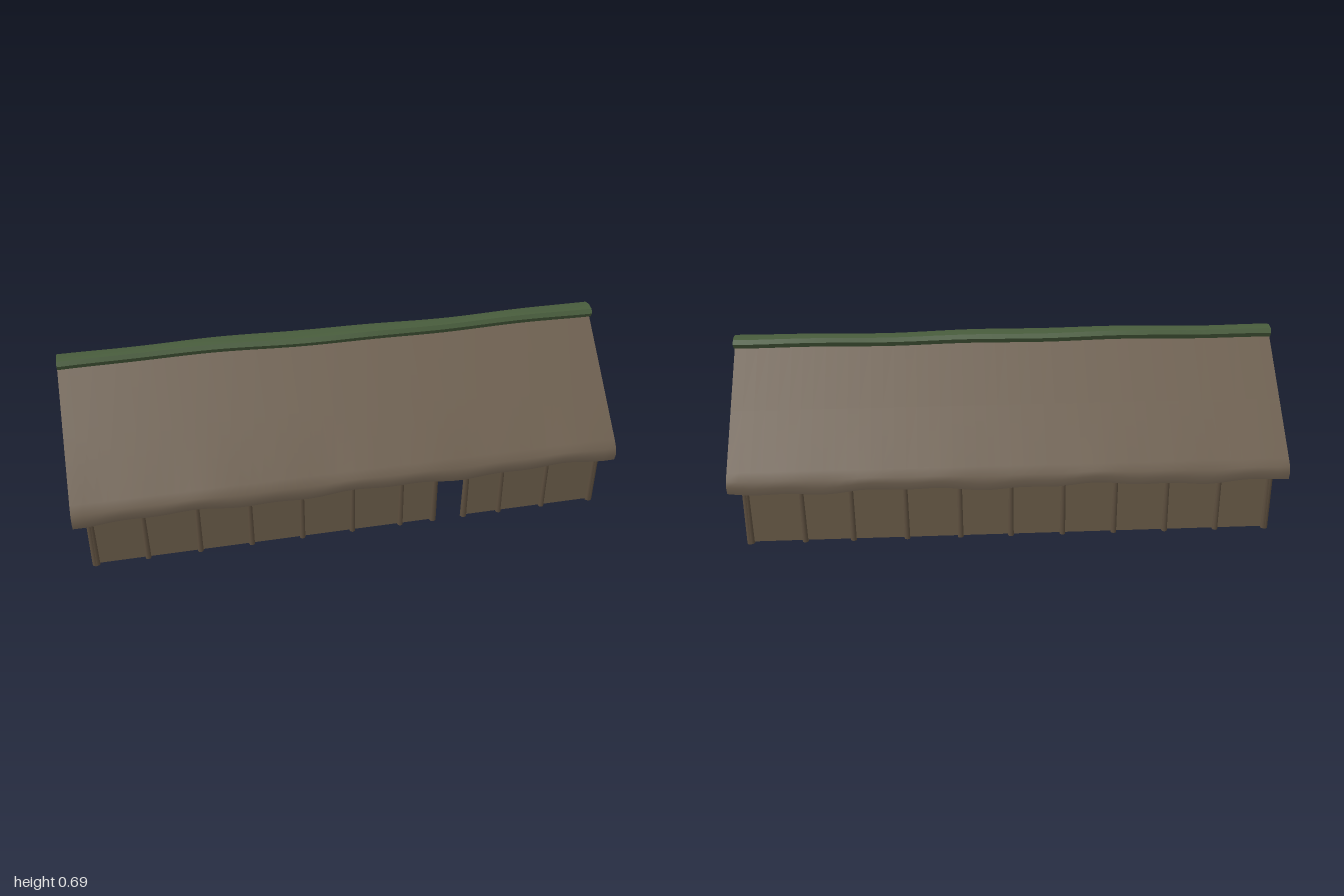
import * as THREE from 'three';
import { toCreasedNormals } from 'three/addons/utils/BufferGeometryUtils.js';

const mat = (name, color) => Object.assign(new THREE.MeshStandardMaterial({ color }), { name });
const V = (x, y, z) => new THREE.Vector3(x, y, z);

// Sweeps a closed (z, y) profile along x; profileAt(x) lists points top, +z side, bottom, -z side
function sweep(profileAt, x0, x1, steps, crease) {
  const pos = [], index = [];
  let n = 0;
  for (let i = 0; i <= steps; i++) {
    const x = x0 + (x1 - x0) * i / steps;
    const loop = profileAt(x);
    n = loop.length;
    for (const [z, y] of loop) pos.push(x, y, z);
  }
  for (let i = 0; i < steps; i++) {
    for (let j = 0; j < n; j++) {
      const a = i * n + j, b = i * n + (j + 1) % n;
      index.push(a, b, a + n, b, b + n, a + n);
    }
  }
  const contour = profileAt(x0).map(p => new THREE.Vector2(p[0], p[1]));
  const last = steps * n;
  for (const [a, b, c] of THREE.ShapeUtils.triangulateShape(contour, [])) {
    index.push(a, b, c, last + a, last + c, last + b);
  }
  const g = new THREE.BufferGeometry();
  g.setAttribute('position', new THREE.Float32BufferAttribute(pos, 3));
  g.setIndex(index);
  return toCreasedNormals(g, crease);
}

// Upright panel from an outline, thickness centred on its plane
function panel(points, depth) {
  const shape = new THREE.Shape(points.map(p => new THREE.Vector2(p[0], p[1])));
  return new THREE.ExtrudeGeometry(shape, { depth, bevelEnabled: false }).translate(0, 0, -depth / 2);
}

export function createModel() {
  const model = new THREE.Group();
  model.name = 'longhouse';
  const thatch = mat('thatch', 0x6e6050);
  const daub = mat('daub', 0x6a5c49);
  const timber = mat('timber', 0x5c4e3e);
  const turf = mat('turf', 0x485c3c);
  const stone = mat('stone', 0x4a4036);

  const add = (name, geometry, material) => {
    const m = new THREE.Mesh(geometry, material);
    m.name = name;
    model.add(m);
    return m;
  };
  // Round timber between two points
  const beam = (name, a, b, r, r2 = r) => {
    const d = b.clone().sub(a);
    const m = add(name, new THREE.CylinderGeometry(r2, r, d.length(), 8), timber);
    m.position.copy(a).add(b).multiplyScalar(0.5);
    m.quaternion.setFromUnitVectors(V(0, 1, 0), d.normalize());
    return m;
  };

  // Thatched roof with slightly uneven eaves
  const eave = (x, s) => 0.006 * Math.sin(x * 9 + s) + 0.004 * Math.sin(x * 23 + 2 * s);
  add('thatchedRoof', sweep(x => {
    const f = eave(x, 1), b = eave(x, -2);
    return [
      [0, 0.65], [0.2, 0.463], [0.37, 0.303], [0.394, 0.278 + f * 0.5], [0.4, 0.256 + f], [0.395, 0.229 + f],
      [0.386, 0.237 + f], [0.35, 0.28], [0, 0.626],
      [-0.35, 0.28], [-0.386, 0.237 + b], [-0.395, 0.229 + b], [-0.4, 0.256 + b], [-0.394, 0.278 + b * 0.5],
      [-0.37, 0.303], [-0.2, 0.463],
    ];
  }, -1, 0.998, 48, 0.6), thatch);

  // Turf ridge roll, wavering along its length
  add('turfRidge', sweep(x => {
    const dy = 0.004 * Math.sin(-x * 3.3) + 0.002 * Math.sin(x * 11);
    const dz = 0.004 * Math.sin(x * 4.5 + 1);
    const w = 0.92 + 0.1 * Math.sin(x * 5 + 2);
    return [[0, 0.68], [0.03, 0.674], [0.041, 0.659], [0.03, 0.641], [0, 0.636],
      [-0.03, 0.641], [-0.041, 0.659], [-0.03, 0.674]].map(([z, y]) => [z * w + dz, y + dy]);
  }, -0.998, 0.998, 40, 0.5), turf);

  // Long walls; the front one has a doorway
  const L = 0.947, base = 0.01, top = 0.284, d0 = 0.32, d1 = 0.43, doorTop = 0.235;
  const wallBack = [[-L, base], [L, base], [L, top], [-L, top]];
  const wallFront = [[-L, base], [d0, base], [d0, doorTop], [d1, doorTop], [d1, base], [L, base], [L, top], [-L, top]];
  add('frontWall', panel(wallFront, 0.016), daub).position.z = 0.34;
  add('backWall', panel(wallBack, 0.016), daub).position.z = -0.34;

  // Gable walls
  const gable = [[-0.347, base], [0.347, base], [0.347, top], [0, 0.627], [-0.347, top]];
  for (const s of [-1, 1]) {
    const w = add('gableWall', panel(gable, 0.016), daub);
    w.rotation.y = Math.PI / 2;
    w.position.x = s * 0.94;
  }

  // Inner partitions with doorways (shape x runs toward -z)
  const partition = [[-0.34, base], [-0.18, base], [-0.18, 0.26], [-0.05, 0.26], [-0.05, base],
    [0.34, base], [0.34, top], [0, 0.622], [-0.34, top]];
  for (const x of [-0.205, -0.52]) {
    const w = add('partitionWall', panel(partition, 0.014), daub);
    w.rotation.y = Math.PI / 2;
    w.position.x = x;
    for (const z of [0.05, 0.18]) beam('partitionDoorPost', V(x, 0.005, z), V(x, 0.265, z), 0.01);
    beam('partitionLintel', V(x, 0.262, 0.04), V(x, 0.262, 0.19), 0.01);
  }

  // Wall posts and rafters, front and back
  const bays = [-0.943, -0.76, -0.57, -0.38, -0.19, 0, 0.185, 0.38, 0.575, 0.75, 0.943];
  for (const s of [-1, 1]) {
    for (const x of bays) {
      if (s < 0 || x !== 0.38) {
        beam('wallPost', V(x, 0.004, s * 0.346), V(x + 0.004 * Math.sin(x * 17), 0.278, s * 0.344), 0.011, 0.009);
      }
      if (Math.abs(x) < 0.9) beam('rafter', V(x, 0.276, s * 0.336), V(x, 0.612, 0), 0.01);
    }
    beam('wallPlate', V(-0.95, 0.276, s * 0.34), V(0.95, 0.276, s * 0.34), 0.009);
  }

  // Front door frame
  for (const x of [d0 - 0.006, d1 + 0.006]) beam('doorPost', V(x, 0.003, 0.343), V(x, 0.278, 0.343), 0.013, 0.011);
  beam('doorLintel', V(d0 - 0.01, doorTop, 0.342), V(d1 + 0.01, doorTop, 0.342), 0.01);

  // Gable framing at both ends
  for (const s of [-1, 1]) {
    const x = s * 0.948;
    beam('gableCentrePost', V(x, 0, 0), V(x, 0.617, 0), 0.012, 0.01);
    beam('gablePost', V(x, 0.003, 0.183), V(x, 0.452, 0.18), 0.013, 0.011);
    beam('gablePost', V(x, 0.003, -0.177), V(x, 0.452, -0.17), 0.011, 0.01);
    beam('gableTie', V(x, 0.286, 0.34), V(x, 0.282, -0.34), 0.007);
    for (const side of [-1, 1]) {
      beam('gableRafter', V(x, 0.274, side * 0.344), V(x, 0.614, 0), 0.01);
      beam('cornerPost', V(x, 0.002, side * 0.343), V(x, 0.28, side * 0.345), 0.013, 0.01);
    }
  }
  beam('ridgePole', V(-0.985, 0.618, 0), V(0.985, 0.618, 0), 0.01);

  // Hearth stones spread in a ring pattern on the ground
  const pebble = new THREE.SphereGeometry(0.01, 7, 5);
  for (let i = 0; i < 46; i++) {
    const a = i * 2.4, r = 0.115 * Math.sqrt((i + 0.5) / 46);
    const m = add('hearthStone', pebble, stone);
    m.position.set(r * Math.cos(a), 0.012, -0.015 + r * Math.sin(a));
    m.scale.set(0.8 + 0.2 * Math.sin(i * 5), 0.7, 0.85 + 0.15 * Math.cos(i * 3));
  }
  return model;
}
